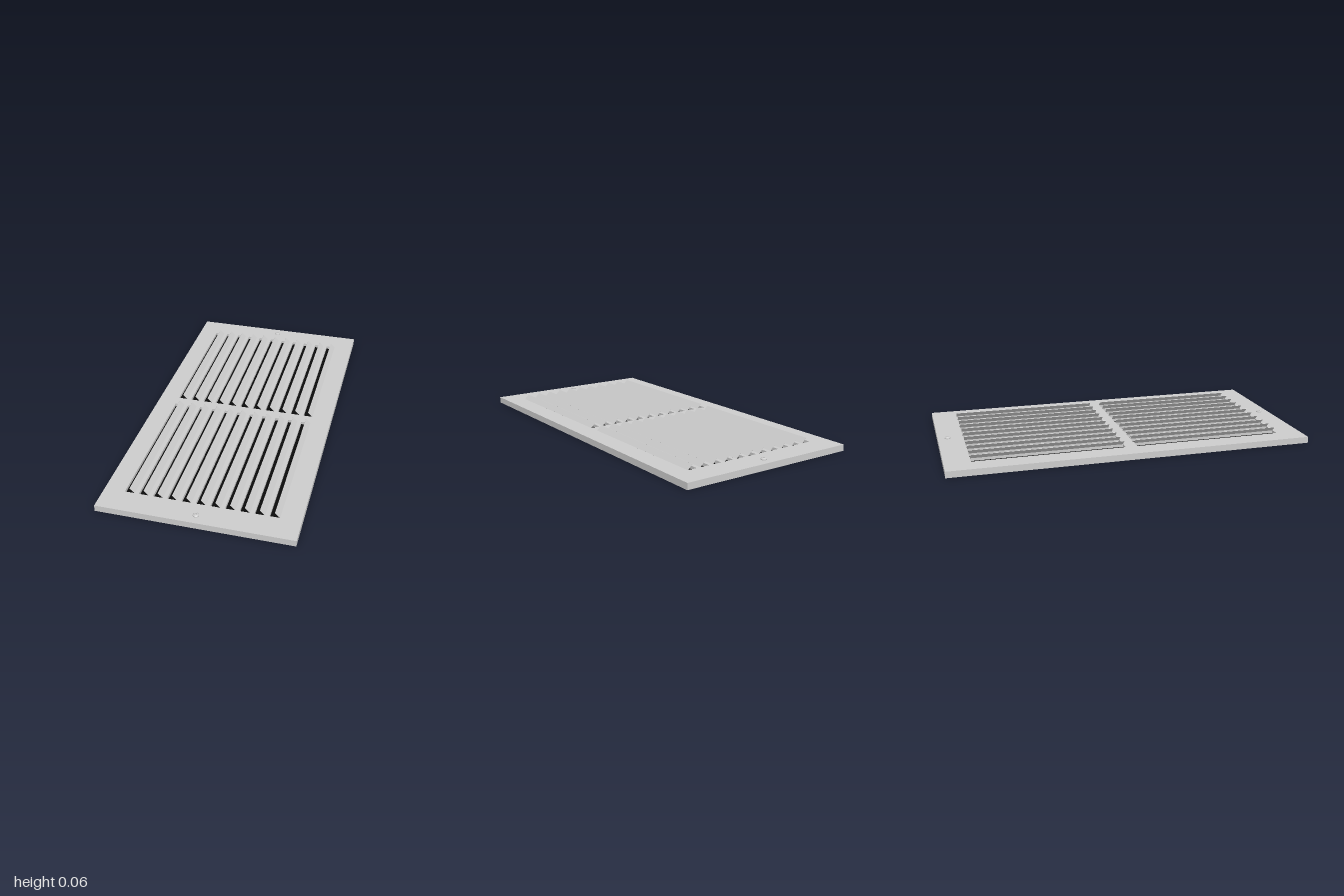
import * as THREE from 'three';

const WIDTH = 1.03, LENGTH = 2, THICK = 0.035;
const COUNT = 11, PITCH = 0.0757, SLOT_HALF = 0.0265;
const SLOT_NEAR = 0.032, SLOT_FAR = 0.86;

function rectangle(path, x0, y0, x1, y1) {
  path.moveTo(x0, y0);
  path.lineTo(x1, y0);
  path.lineTo(x1, y1);
  path.lineTo(x0, y1);
  path.closePath();
  return path;
}

export function createModel() {
  const group = new THREE.Group();
  group.name = 'ventGrille';
  const grey = new THREE.MeshStandardMaterial({ color: 0xcccccc, flatShading: true });
  const black = new THREE.MeshStandardMaterial({ color: 0x0a0a0a });

  function add(name, geometry, material, x = 0, y = 0, z = 0) {
    const mesh = new THREE.Mesh(geometry, material);
    mesh.name = name;
    mesh.position.set(x, y, z);
    group.add(mesh);
    return mesh;
  }

  const slotCentres = Array.from({ length: COUNT }, (_, i) => (i - (COUNT - 1) / 2) * PITCH);
  const slotLength = SLOT_FAR - SLOT_NEAR;
  const slotMid = (SLOT_FAR + SLOT_NEAR) / 2;

  // Face plate with two rows of slots
  const outline = rectangle(new THREE.Shape(), -WIDTH / 2, -LENGTH / 2, WIDTH / 2, LENGTH / 2);
  for (const x of slotCentres) {
    for (const [a, b] of [[SLOT_NEAR, SLOT_FAR], [-SLOT_FAR, -SLOT_NEAR]]) {
      outline.holes.push(rectangle(new THREE.Path(), x - SLOT_HALF, a, x + SLOT_HALF, b));
    }
  }
  const plate = new THREE.ExtrudeGeometry(outline, { depth: THICK, bevelEnabled: false });
  plate.rotateX(-Math.PI / 2);
  add('facePlate', plate, grey);

  // Slanted louvre blade, hinged on the +x edge of its slot
  const blade = new THREE.BoxGeometry(0.0365, 0.0015, slotLength);
  blade.rotateZ(-Math.PI / 4);

  // Round screw head with a small socket
  const screw = new THREE.LatheGeometry([
    [0.016, 0], [0.016, 0.005], [0.010, 0.010], [0.006, 0.010], [0.006, 0.004], [0, 0.004],
  ].map(([r, y]) => new THREE.Vector2(r, y)), 16);

  // Dark backing inside the plate, closing the slots
  const backing = new THREE.BoxGeometry(COUNT * PITCH, 0.002, slotLength + 0.02);

  for (const side of [1, -1]) {
    for (const x of slotCentres) {
      add('louvreBlade', blade, grey, x + SLOT_HALF / 2, THICK + 0.0125, side * slotMid);
    }
    add('darkBacking', backing, black, 0, THICK / 2, side * slotMid);
    add('screwHead', screw, grey, 0, THICK, side * 0.945);
  }
  return group;
}
